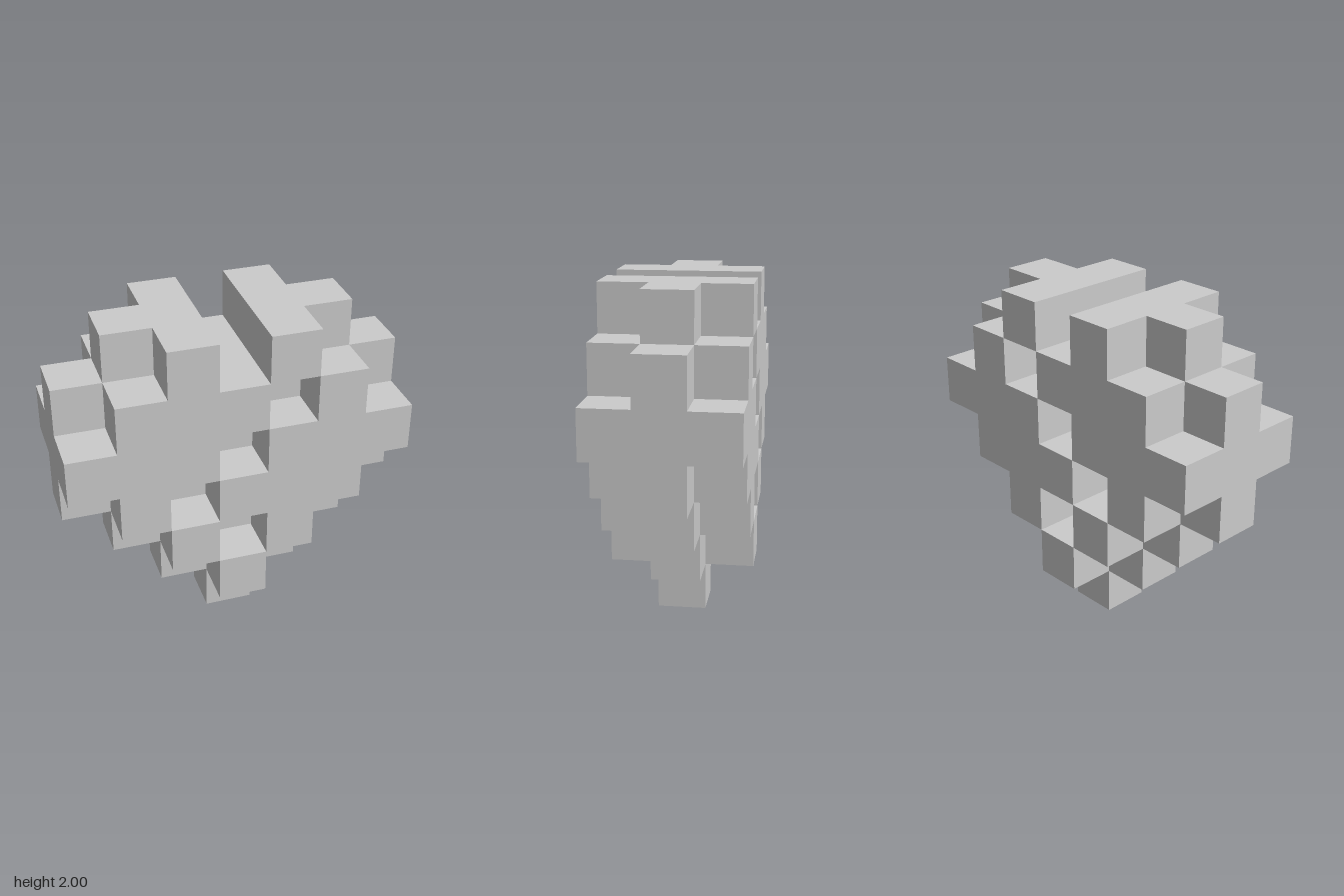
import * as THREE from 'three';
import { mergeGeometries } from 'three/addons/utils/BufferGeometryUtils.js';

const N = 7, UNIT = 2 / N;

// Layer patterns, top row first, -x to +x
const CORE = [
  '.##.##.',
  '#######',
  '#######',
  '#######',
  '.#####.',
  '..###..',
  '...#...',
];
const PLATE = [
  '..#.#..',
  '.###.#.',
  '###.###',
  '.#.###.',
  '..#.#..',
  '...#...',
  '.......',
];
const LAYERS = [PLATE, CORE, PLATE]; // back to front

const filled = (x, y, z) => LAYERS[z]?.[N - 1 - y]?.[x] === '#';

// Outward directions, each with the rotation that turns a +z plane to face it
const SIDES = [
  { d: [0, 0, 1], r: [0, 0] },
  { d: [0, 0, -1], r: [0, Math.PI] },
  { d: [1, 0, 0], r: [0, Math.PI / 2] },
  { d: [-1, 0, 0], r: [0, -Math.PI / 2] },
  { d: [0, 1, 0], r: [-Math.PI / 2, 0] },
  { d: [0, -1, 0], r: [Math.PI / 2, 0] },
];

// Exposed cube faces of one layer
function layerGeometry(z) {
  const faces = [];
  for (let y = 0; y < N; y++) {
    for (let x = 0; x < N; x++) {
      if (!filled(x, y, z)) continue;
      for (const { d, r } of SIDES) {
        if (filled(x + d[0], y + d[1], z + d[2])) continue;
        const face = new THREE.PlaneGeometry(UNIT, UNIT);
        face.translate(0, 0, UNIT / 2).rotateX(r[0]).rotateY(r[1]);
        face.translate((x - 3) * UNIT, (y + 0.5) * UNIT, (z - 1) * UNIT);
        faces.push(face);
      }
    }
  }
  return mergeGeometries(faces);
}

export function createModel() {
  const group = new THREE.Group();
  group.name = 'blockHeart';
  const material = new THREE.MeshStandardMaterial({ color: 0xcccccc, flatShading: true });
  ['backBlocks', 'heartCore', 'frontBlocks'].forEach((name, z) => {
    const mesh = new THREE.Mesh(layerGeometry(z), material);
    mesh.name = name;
    group.add(mesh);
  });
  return group;
}
